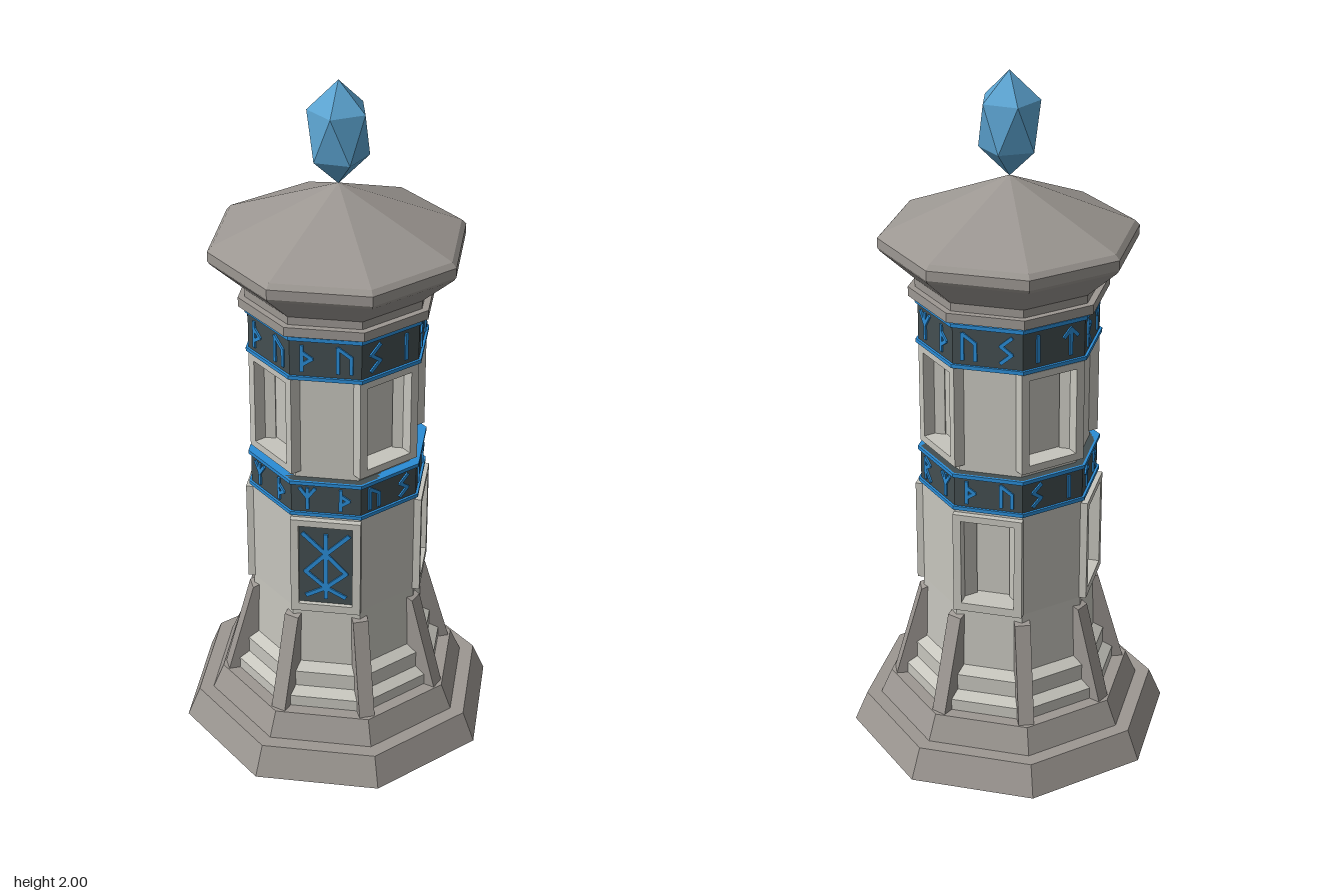
import * as THREE from 'three';

const material = (name, color) => {
  const m = new THREE.MeshStandardMaterial({ color });
  m.name = name;
  return m;
};

export function createModel() {
  const trim = material('grey trim stone', 0x9c9792);
  const wall = material('pale wall stone', 0xc6c5bd);
  const slate = material('dark slate', 0x434e50);
  const glow = material('glowing blue', 0x2a8cd6);
  const crystal = material('crystal blue', 0x5ba3d0);

  const model = new THREE.Group();
  model.name = 'tower';
  const STEP = Math.PI / 4;
  const COS = Math.cos(Math.PI / 8), TAN = Math.tan(Math.PI / 8);

  const add = (parent, name, geometry, mat) => {
    const mesh = new THREE.Mesh(geometry, mat);
    mesh.name = name;
    parent.add(mesh);
    return mesh;
  };

  // Eight-sided solid from [apothem, y] pairs, bottom to top, with flat facets
  const octagon = (name, profile, mat) => {
    const points = profile.map(([a, y]) => new THREE.Vector2(a / COS, y));
    const geo = new THREE.LatheGeometry(points, 8, Math.PI / 8).toNonIndexed();
    geo.computeVertexNormals();
    return add(model, name, geo, mat);
  };

  const rectangle = (Kind, hw, y0, y1) => {
    const s = new Kind();
    s.moveTo(-hw, y0);
    s.lineTo(hw, y0);
    s.lineTo(hw, y1);
    s.lineTo(-hw, y1);
    s.closePath();
    return s;
  };

  // Upright slab with an optional opening, spanning two depths
  const slab = (parent, name, outer, opening, z0, z1, mat) => {
    const shape = rectangle(THREE.Shape, ...outer);
    if (opening) shape.holes.push(rectangle(THREE.Path, ...opening));
    const geo = new THREE.ExtrudeGeometry(shape, { depth: z1 - z0, bevelEnabled: false });
    geo.translate(0, 0, z0);
    return add(parent, name, geo, mat);
  };

  // Thin painted stroke through a list of points
  const strokes = (parent, name, path, z, width) => {
    for (let i = 1; i < path.length; i++) {
      const [x0, y0] = path[i - 1], [x1, y1] = path[i];
      const length = Math.hypot(x1 - x0, y1 - y0);
      const bar = add(parent, name, new THREE.BoxGeometry(length + width * 0.5, width, 0.006), glow);
      bar.position.set((x0 + x1) / 2, (y0 + y1) / 2, z);
      bar.rotation.z = Math.atan2(y1 - y0, x1 - x0);
    }
  };

  // One group per side of the tower, local +z pointing outwards
  const sides = Array.from({ length: 8 }, (_, k) => {
    const side = new THREE.Group();
    side.name = 'side' + k;
    side.rotation.y = k * STEP;
    model.add(side);
    return side;
  });

  // Stepped base
  octagon('base', [[0, 0], [0.435, 0], [0.4, 0.09], [0.36, 0.09], [0.33, 0.165], [0, 0.165]], trim);
  octagon('plinth', [[0.295, 0.16], [0.295, 0.2], [0.268, 0.22], [0.268, 0.27],
    [0.24, 0.29], [0.235, 0.48], [0, 0.48]], wall);
  octagon('core', [[0.175, 0.4], [0.175, 1.38]], wall);

  // Sloping buttresses on the eight corners
  const fin = new THREE.Shape([[0.2, 0.16], [0.345, 0.16], [0.264, 0.45], [0.2, 0.475]]
    .map(([r, y]) => new THREE.Vector2(r, y)));
  for (let k = 0; k < 8; k++) {
    const geo = new THREE.ExtrudeGeometry(fin, { depth: 0.045, bevelEnabled: false });
    geo.translate(0, 0, -0.0225);
    add(model, 'buttress', geo, trim).rotation.y = (k + 0.5) * STEP;
  }

  // Two storeys: windows on the straight sides below and the diagonal sides above
  const storeys = [
    { odd: 0, a: 0.235, y0: 0.47, y1: 0.81, frame: [0.1, 0.48, 0.79], hole: [0.077, 0.505, 0.77], out: 0.253 },
    { odd: 1, a: 0.215, y0: 0.9, y1: 1.24, frame: [0.1, 0.93, 1.23], hole: [0.075, 0.952, 1.21], out: 0.235 },
  ];
  for (const s of storeys) {
    sides.forEach((side, k) => {
      const framed = k % 2 === s.odd;
      slab(side, 'wall', [s.a * TAN, s.y0, s.y1], framed && s.hole, 0.165, s.a, wall);
      if (framed) slab(side, 'windowFrame', s.frame, s.hole, s.a - 0.02, s.out, wall);
    });
  }

  // Slate panel with an interlaced zigzag sign on the front
  slab(sides[0], 'signPanel', [0.078, 0.504, 0.771], null, 0.18, 0.24, slate);
  strokes(sides[0], 'signStem', [[0, 0.525], [0, 0.74]], 0.242, 0.012);
  for (const m of [-1, 1]) {
    strokes(sides[0], 'signZigzag',
      [[-0.065, 0.74], [0, 0.675], [0.058, 0.612], [0, 0.56], [-0.055, 0.53]].map(([x, y]) => [x * m, y]),
      0.242, 0.012);
  }

  // Slate bands with glowing rims
  const bands = [{ y0: 0.8, y1: 0.912 }, { y0: 1.235, y1: 1.365 }];
  for (const { y0, y1 } of bands) {
    octagon('band', [[0, y0], [0.236, y0], [0.236, y1], [0, y1]], slate);
    for (const y of [y0, y1 - 0.011]) {
      octagon('bandRim', [[0.2, y], [0.243, y], [0.243, y + 0.011], [0.2, y + 0.011]], glow);
    }
  }

  // Abstract angular marks, two on each side of each band
  const marks = [
    [[[0, 0], [0, 1]], [[-0.4, 1], [0, 0.55], [0.4, 1]]],
    [[[-0.2, 0], [-0.2, 1]], [[-0.2, 0.75], [0.25, 0.5], [-0.2, 0.25]]],
    [[[-0.3, 0], [-0.3, 1], [0.3, 0.65], [0.3, 0]]],
    [[[0.25, 1], [-0.25, 0.65], [0.25, 0.35], [-0.25, 0]]],
    [[[0, 0], [0, 1]]],
    [[[0, 0], [0, 1]], [[-0.35, 0.7], [0, 1], [0.35, 0.7]]],
    [[[-0.25, 0], [-0.25, 1], [0.25, 0.75], [-0.25, 0.5], [0.3, 0]]],
  ];
  bands.forEach(({ y0, y1 }, b) => {
    const h = (y1 - y0) * 0.58, base = (y0 + y1 - h) / 2;
    sides.forEach((side, k) => {
      [-0.052, 0.052].forEach((cx, i) => {
        for (const path of marks[(2 * k + i + b + 7 * b) % marks.length]) {
          strokes(side, 'bandMark', path.map(([x, y]) => [cx + x * h * 0.8, base + y * h]), 0.238, 0.01);
        }
      });
    });
  });

  // Collar, flared crown and roof
  octagon('collar', [[0, 1.365], [0.24, 1.37], [0.26, 1.375], [0.26, 1.402], [0, 1.402]], trim);
  octagon('crown', [[0.242, 1.4], [0.242, 1.425], [0.328, 1.51], [0.334, 1.52],
    [0.334, 1.548], [0.322, 1.562], [0, 1.71]], trim);

  // Faceted crystal balanced on the roof tip
  const gem = new THREE.IcosahedronGeometry(1, 0);
  gem.rotateZ(Math.atan(2 / (1 + Math.sqrt(5))));
  gem.rotateY(0.2);
  gem.scale(0.094, 0.146, 0.094);
  gem.computeVertexNormals();
  add(model, 'crystal', gem, crystal).position.y = 1.854;

  return model;
}
